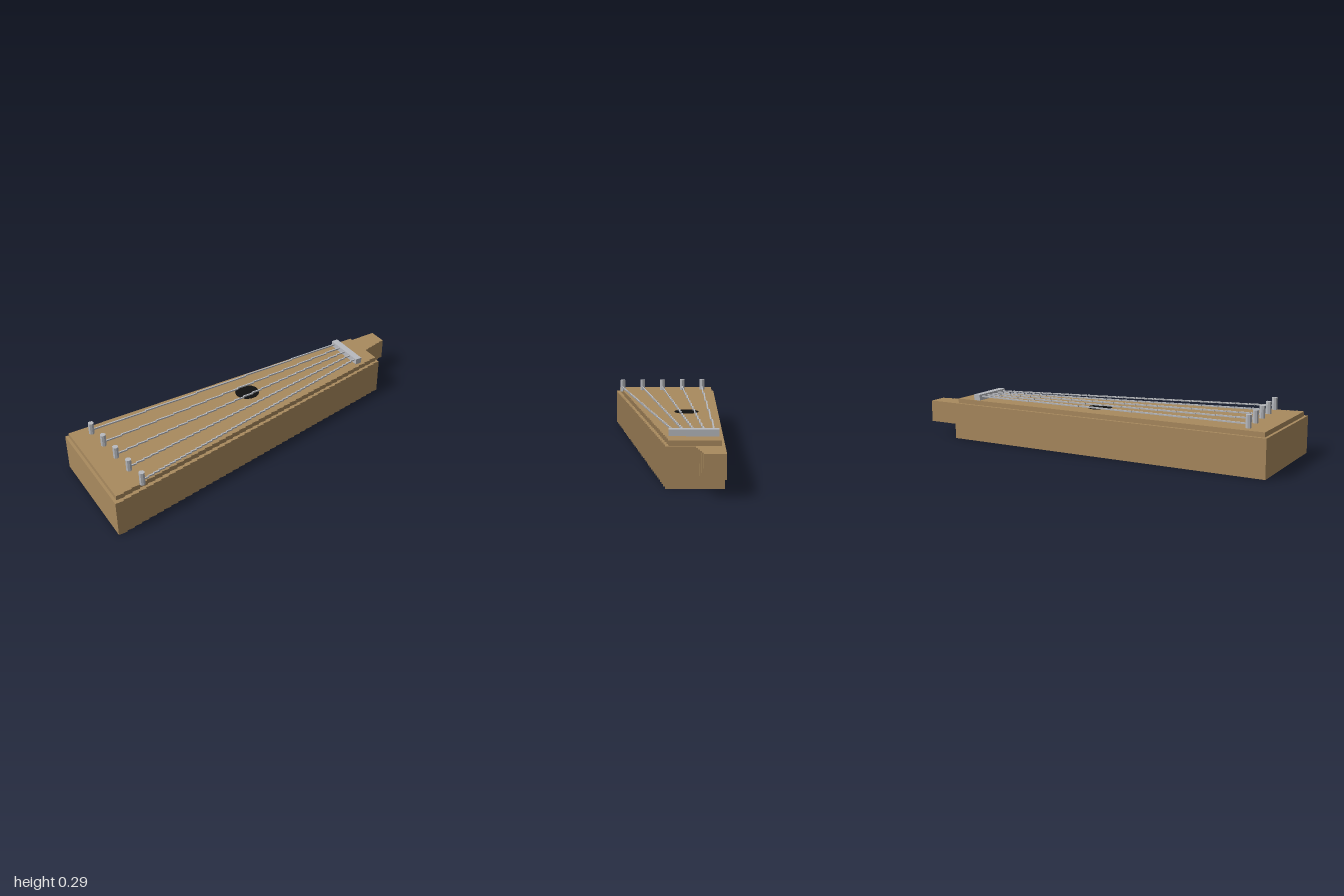
import * as THREE from 'three';
import { mergeGeometries } from 'three/addons/utils/BufferGeometryUtils.js';

const material = (name, color) => {
  const m = new THREE.MeshStandardMaterial({ color });
  m.name = name;
  return m;
};

// Flat slab with a straight back edge and a front edge that steps from zLeft to zRight
function steppedSlab(x0, x1, zBack, zLeft, zRight, steps, y0, y1) {
  const shape = new THREE.Shape();
  const dx = (x1 - x0) / steps;
  shape.moveTo(x0, -zBack);
  for (let i = 0; i < steps; i++) {
    const z = zLeft + (zRight - zLeft) * i / (steps - 1);
    shape.lineTo(x0 + i * dx, -z);
    shape.lineTo(x0 + (i + 1) * dx, -z);
  }
  shape.lineTo(x1, -zBack);
  shape.closePath();
  const geometry = new THREE.ExtrudeGeometry(shape, { depth: y1 - y0, bevelEnabled: false });
  return geometry.rotateX(-Math.PI / 2).translate(0, y0, 0);
}

// String made of short straight pieces, each shifted sideways by one step
function steppedString(xa, za, xb, zb, y, size) {
  const steps = Math.max(2, Math.round(Math.abs(zb - za) / size) + 1);
  const dx = (xb - xa) / steps;
  const pieces = [];
  for (let i = 0; i < steps; i++) {
    const z = za + (zb - za) * i / (steps - 1);
    pieces.push(new THREE.BoxGeometry(dx, size, size).translate(xa + (i + 0.5) * dx, y, z));
  }
  return mergeGeometries(pieces);
}

export function createModel() {
  const model = new THREE.Group();
  model.name = 'zither';
  const wood = material('wood', 0xa98a5e);
  const metal = material('metal', 0xb8babf);
  const dark = material('soundHoleBlack', 0x101010);

  const add = (name, geometry, mat) => {
    const mesh = new THREE.Mesh(geometry, mat);
    mesh.name = name;
    model.add(mesh);
    return mesh;
  };

  // Wooden case
  add('body', steppedSlab(-1, 0.835, -0.312, 0.312, -0.034, 41, 0, 0.2), wood);
  add('soundboard', steppedSlab(-0.985, 0.82, -0.296, 0.289, -0.048, 40, 0.2, 0.225), wood);
  add('neck', steppedSlab(0.835, 1, -0.312, -0.177, -0.209, 5, 0.082, 0.2), wood);

  // Sound hole
  add('soundHole', new THREE.CylinderGeometry(0.066, 0.066, 0.004, 24), dark)
    .position.set(0, 0.2245, -0.135);

  // Bridge
  add('bridge', new THREE.BoxGeometry(0.038, 0.034, 0.24), metal)
    .position.set(0.697, 0.24, -0.169);

  // Tuning pegs, each with a string running to the bridge
  for (let i = 0; i < 5; i++) {
    const x = -0.88 + 0.012 * i;
    const z = -0.236 + 0.125 * i;
    const peg = new THREE.CylinderGeometry(0.0155, 0.0155, 0.073, 8).toNonIndexed();
    peg.computeVertexNormals();
    add('peg' + (i + 1), peg, metal).position.set(x, 0.2535, z);
    add('string' + (i + 1), steppedString(x, z, 0.685, -0.264 + 0.049 * i, 0.2455, 0.0075), metal);
  }
  return model;
}
